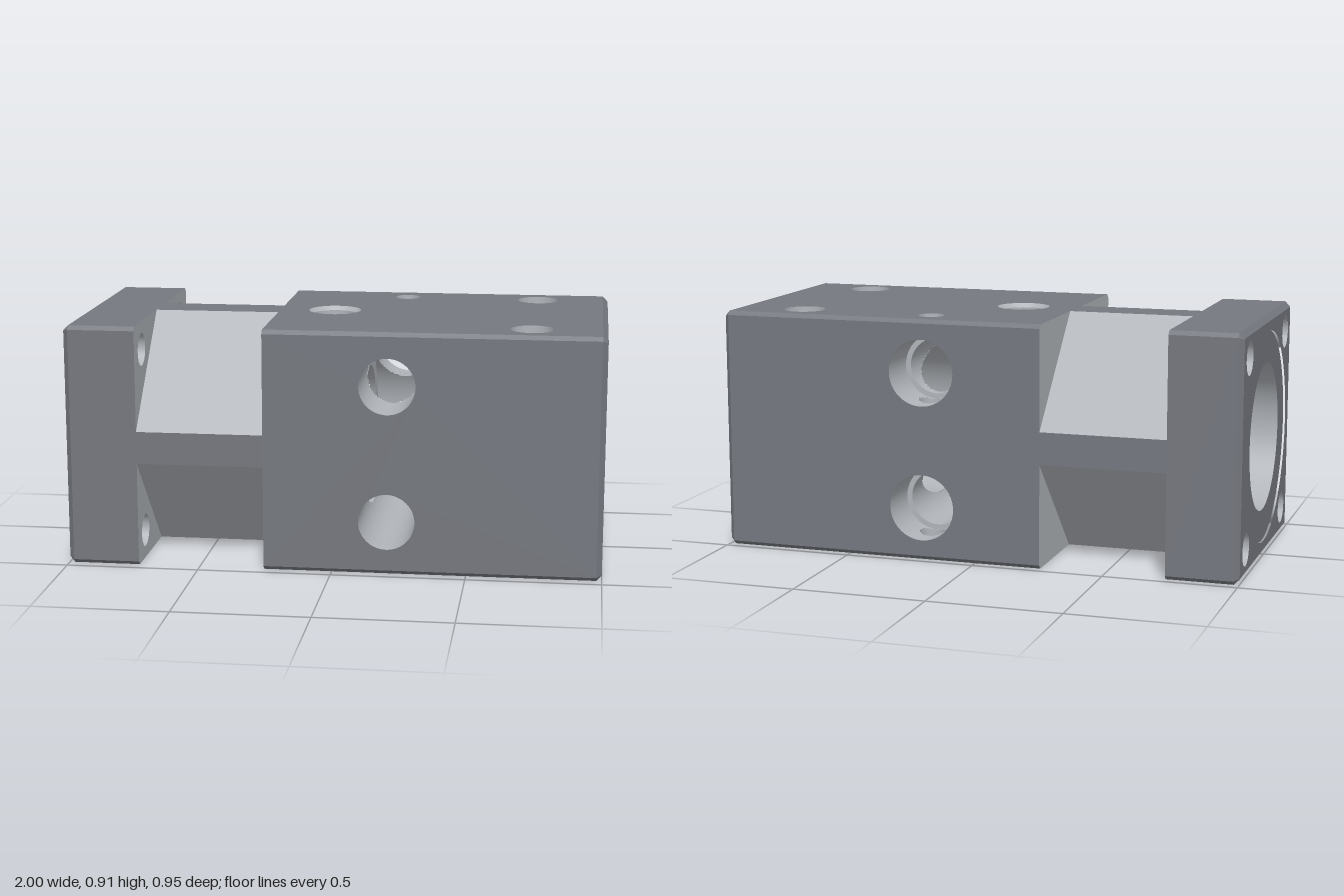
import * as THREE from 'three';
import { ParametricGeometry } from 'three/addons/geometries/ParametricGeometry.js';
import { toCreasedNormals } from 'three/addons/utils/BufferGeometryUtils.js';

const W = 0.474, H = 0.455;           // half depth (z) and half height (y)
const EDGE = 0.015, END = 0.02;       // chamfers along the block and at its ends
const NECK0 = -0.73, NECK1 = -0.255;  // span of the waisted neck
const BORE = 0.298, LIP = 0.238;      // bore radius and the narrower lip inside
const CROSS = { x: 0.205, o: 0.255, r: 0.105 };
const SINK = { x: 0.205, o: 0.255, r: 0.125 };  // wider back end of the cross holes
const SINK_END = 0.294;
const BOLT = { x: 0.725, o: 0.333, r: 0.08 };
const PIN = { x: 0.205, o: -0.35, r: 0.05 };
const PORT = { x: -0.045, o: 0, r: 0.1 };

// Dark outer skin, paler machined surfaces
const skin = new THREE.MeshStandardMaterial({ color: 0x75787f });
const cut = new THREE.MeshStandardMaterial({ color: 0xb1b5ba });
const cutOpen = new THREE.MeshStandardMaterial({ color: 0xb1b5ba, side: THREE.DoubleSide });

const inside = (a, b, h) => (a - h.x) ** 2 + (b - h.o) ** 2 < h.r ** 2;

// Rectangle with cut corners as [y, z] points; odd edges are the corners
function octagon(w, h, c) {
  return [[h, c - w], [h, w - c], [h - c, w], [c - h, w], [-h, w - c], [-h, c - w], [c - h, -w], [h - c, -w]];
}

// Flat-sided band joining two octagons along x, from edge 'first' in steps
function band(x0, a, x1, b, first = 0, step = 1) {
  const v = [];
  for (let i = first; i < 8; i += step) {
    const j = (i + 1) % 8;
    const p = [[x0, ...a[i]], [x0, ...a[j]], [x1, ...b[j]], [x1, ...b[i]]];
    for (const k of [0, 1, 2, 0, 2, 3]) v.push(...p[k]);
  }
  const g = new THREE.BufferGeometry();
  g.setAttribute('position', new THREE.Float32BufferAttribute(v, 3));
  g.computeVertexNormals();
  return g;
}

// Flat face with round holes [u, v, radius]
function face(points, holes = []) {
  const s = new THREE.Shape(points.map(([x, y]) => new THREE.Vector2(x, y)));
  for (const [x, y, r] of holes) s.holes.push(new THREE.Path().absarc(x, y, r, 0, Math.PI * 2, true));
  return new THREE.ShapeGeometry(s, 32);
}

// Long side wall, turned about x to its place
function wall(x0, x1, half, dist, angle, holes) {
  return face([[x0, -half], [x1, -half], [x1, half], [x0, half]], holes).translate(0, 0, dist).rotateX(angle);
}

// Remove the triangles whose centre lies in a crossing hole
function trim(g, removed) {
  const p = g.attributes.position, src = g.index.array, keep = [];
  for (let i = 0; i < src.length; i += 3) {
    const t = [src[i], src[i + 1], src[i + 2]];
    const mid = (f) => t.reduce((s, k) => s + p[f](k), 0) / 3;
    if (!removed(mid('getX'), mid('getY'), mid('getZ'))) keep.push(...t);
  }
  g.setIndex(keep);
  return g;
}

// Surface of revolution about x between two [x, radius] points
function revolve([x0, r0], [x1, r1], nu, nv) {
  return new ParametricGeometry((u, v, p) => {
    const t = u * Math.PI * 2, r = r0 + (r1 - r0) * v;
    p.set(x0 + (x1 - x0) * v, r * Math.cos(t), r * Math.sin(t));
  }, nu, nv);
}

// Wall of a drilled hole from 'start' inwards, ending on the bore or at 'stop'
function drill(axis, h, o, side, nv, start, stop = 0) {
  return new ParametricGeometry((u, v, p) => {
    const t = u * Math.PI * 2, x = h.x + h.r * Math.cos(t), off = o + h.r * Math.sin(t);
    const end = Math.max(stop, Math.sqrt(Math.max(0, BORE ** 2 - off ** 2)));
    const d = side * THREE.MathUtils.lerp(start, end, v);
    if (axis === 'y') p.set(x, d, off);
    else p.set(x, off, d);
  }, 64, nv);
}

export function createModel() {
  const model = new THREE.Group();
  const add = (name, g, m) => {
    const mesh = new THREE.Mesh(g, m);
    mesh.name = name;
    mesh.position.set(0, H, -0.005);
    model.add(mesh);
  };
  const full = octagon(W, H, EDGE), inset = octagon(W - END, H - END, 0.002), neck = octagon(W, H, W - 0.08);

  // Block and flange side walls
  for (const s of [1, -1]) {
    const flat = (-s * Math.PI) / 2, upright = s > 0 ? 0 : Math.PI, r = s > 0 ? CROSS.r : SINK.r;
    const topHoles = [
      [PORT.x, 0, PORT.r], [PIN.x, -s * PIN.o, PIN.r],
      [BOLT.x, BOLT.o, BOLT.r], [BOLT.x, -BOLT.o, BOLT.r],
    ];
    const sideHoles = [[CROSS.x, CROSS.o, r], [CROSS.x, -CROSS.o, r]];
    add(s > 0 ? 'blockTop' : 'blockBottom', wall(NECK1, 1 - END, W - EDGE, H, flat, topHoles), skin);
    add(s > 0 ? 'blockFront' : 'blockBack', wall(NECK1, 1 - END, H - EDGE, W, upright, sideHoles), skin);
    add(s > 0 ? 'flangeTop' : 'flangeBottom', wall(END - 1, NECK0, W - EDGE, H, flat), skin);
    add(s > 0 ? 'flangeFront' : 'flangeBack', wall(END - 1, NECK0, H - EDGE, W, upright), skin);
  }

  // Chamfers, and the neck with its sloping cuts
  add('blockEdgeChamfers', band(NECK1, full, 1 - END, full, 1, 2), skin);
  add('flangeEdgeChamfers', band(END - 1, full, NECK0, full, 1, 2), skin);
  add('blockEndChamfer', band(1 - END, full, 1, inset), skin);
  add('flangeEndChamfer', band(-1, inset, END - 1, full), skin);
  add('neckStrips', band(NECK0, neck, NECK1, neck, 0, 2), skin);
  add('neckSlopes', band(NECK0, neck, NECK1, neck, 1, 2), cut);

  // End faces, with a shallow round recess in the flange
  const outline = inset.map(([y, z]) => [z, y]);
  const screws = [];
  for (const a of [0.352, -0.352]) for (const b of [0.35, -0.35]) screws.push([a, b, 0.062]);
  add('blockEndFace', face(outline, [[0, 0, BORE + 0.006]]).translate(0, 0, 1).rotateY(Math.PI / 2), skin);
  add('flangeEndFace', face(outline, [[0, 0, 0.4], ...screws]).translate(0, 0, 1).rotateY(-Math.PI / 2), skin);
  add('recessFloor', new THREE.RingGeometry(0.28, 0.4, 96).translate(0, 0, 0.992).rotateY(-Math.PI / 2), skin);

  // Triangular shoulders either side of the neck, and flange screw holes
  for (const [a, b, r] of screws) {
    const sa = Math.sign(a), sb = Math.sign(b);
    const corner = [[0.08, H], [W - EDGE, H], [W, H - EDGE], [W, H - W + 0.08]].map(([u, v]) => [sa * u, sb * v]);
    add('flangeShoulder', face(corner, [[a, b, r]]).translate(0, 0, NECK0).rotateY(Math.PI / 2), cut);
    add('blockShoulder', face(corner).translate(0, 0, -NECK1).rotateY(-Math.PI / 2), cut);
    const hole = new THREE.CylinderGeometry(r, r, 1 + NECK0, 32, 1, true).rotateZ(Math.PI / 2);
    add('screwHole', hole.translate((NECK0 - 1) / 2, b, a), cutOpen);
  }

  // Stepped bore, opened where the drilled holes break into it
  const crossed = (x, y, z) => inside(x, Math.abs(y), CROSS) || inside(x, Math.abs(z), BOLT);
  const ported = (x, y, z) => inside(x, z, { ...PORT, r: 0.03 });
  add('recessRim', revolve([-1, 0.4], [-0.992, 0.4], 96, 1), skin);
  add('flangeBore', revolve([-0.992, 0.28], [-0.2, 0.28], 96, 1), cutOpen);
  add('lipBackFace', revolve([-0.2, 0.28], [-0.2, LIP], 96, 1), cutOpen);
  add('lip', trim(revolve([-0.2, LIP], [0.09, LIP], 192, 40), ported), cutOpen);
  add('lipFrontFace', revolve([0.09, LIP], [0.09, BORE], 96, 1), cutOpen);
  add('mainBore', trim(revolve([0.09, BORE], [0.99, BORE], 192, 150), crossed), cutOpen);
  add('boreChamfer', revolve([0.99, BORE], [1, BORE + 0.006], 96, 1), cutOpen);

  // Cross holes, widened at the back, and the pin hole that meets them
  const pinned = (x, y, z) => inside(x, z, PIN);
  for (const t of [1, -1]) {
    const o = t * CROSS.o;
    add('crossHoleFront', drill('z', CROSS, o, 1, 8, W), cutOpen);
    add('crossHoleBack', drill('z', CROSS, o, -1, 8, SINK_END), cutOpen);
    add('counterbore', trim(drill('z', SINK, o, -1, 40, W, SINK_END), pinned), cutOpen);
    const floor = new THREE.RingGeometry(CROSS.r, SINK.r, 64).rotateY(Math.PI);
    add('counterboreFloor', floor.translate(SINK.x, o, -SINK_END), cutOpen);
  }

  // Vertical holes, top and bottom
  const port = [[0.1, H], [0.085, H - 0.015], [0.085, 0.33], [0.03, 0.3], [0.03, LIP - 0.002]];
  for (const s of [1, -1]) {
    for (const t of [1, -1]) add('boltHole', drill('y', BOLT, t * BOLT.o, s, 8, H), cutOpen);
    add('pinHole', trim(drill('y', PIN, PIN.o, s, 80, H), (x, y) => inside(x, Math.abs(y), SINK)), cutOpen);
    const lathe = toCreasedNormals(new THREE.LatheGeometry(port.map(([r, y]) => new THREE.Vector2(r, y)), 48), 0.5);
    add('portHole', (s < 0 ? lathe.rotateX(Math.PI) : lathe).translate(PORT.x, 0, 0), cutOpen);
  }
  model.name = 'boredBlock';
  return model;
}
